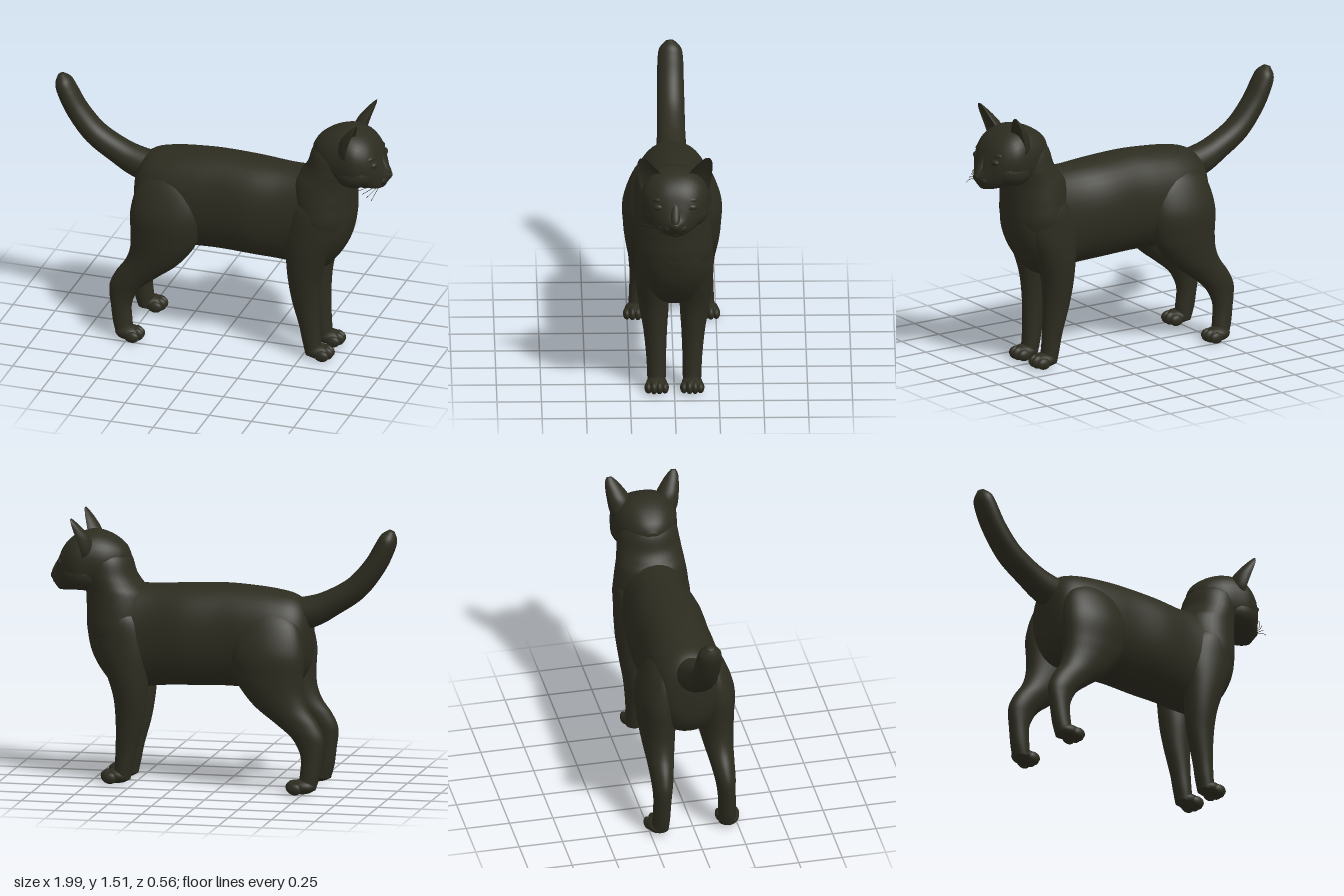
import * as THREE from 'three';

const fur = new THREE.MeshStandardMaterial({ color: 0x2d2c20 });
fur.name = 'dark fur';

// Skin through elliptical sections [x, y, z, half size in the xy plane, half size in z].
// angle turns the section's in-plane axis; null makes it follow the path.
// front scales the half of the section facing along the axis (negative = hollow).
function loft(name, sections, { angle = null, front = 1, power = 1, rings = 6, sides = 36 } = {}) {
  const at = (i, k) => sections[Math.min(Math.max(i, 0), sections.length - 1)][k];
  const rows = [];
  const steps = (sections.length - 1) * rings;
  for (let n = 0; n <= steps; n++) {
    const i = Math.min(Math.floor(n / rings), sections.length - 2), t = n / rings - i;
    rows.push([0, 1, 2, 3, 4].map(k => {
      const [p0, p1, p2, p3] = [at(i - 1, k), at(i, k), at(i + 1, k), at(i + 2, k)];
      const v = 0.5 * (2 * p1 + (p2 - p0) * t + (2 * p0 - 5 * p1 + 4 * p2 - p3) * t * t
        + (3 * p1 - p0 - 3 * p2 + p3) * t * t * t);
      return k > 2 ? Math.max(v, 0.002) : v;
    }));
  }
  const pos = [], idx = [];
  rows.forEach(([x, y, z, a, b], n) => {
    const p = rows[Math.max(n - 1, 0)], q = rows[Math.min(n + 1, steps)];
    const ang = angle === null ? Math.atan2(q[0] - p[0], p[1] - q[1]) : angle;
    for (let j = 0; j < sides; j++) {
      const th = j / sides * Math.PI * 2;
      let c = Math.cos(th), s = Math.sin(th);
      c = Math.sign(c) * Math.abs(c) ** power;
      s = Math.sign(s) * Math.abs(s) ** power;
      if (c > 0) c *= front;
      pos.push(x + Math.cos(ang) * a * c, y + Math.sin(ang) * a * c, z + b * s);
      if (n < steps) {
        const A = n * sides + j, B = n * sides + (j + 1) % sides;
        idx.push(A, B, A + sides, B, B + sides, A + sides);
      }
    }
  });
  // End caps
  const first = pos.length / 3;
  pos.push(...rows[0].slice(0, 3), ...rows[steps].slice(0, 3));
  for (let j = 0; j < sides; j++) {
    const k = (j + 1) % sides;
    idx.push(first, k, j, first + 1, steps * sides + j, steps * sides + k);
  }
  const g = new THREE.BufferGeometry();
  g.setAttribute('position', new THREE.Float32BufferAttribute(pos, 3));
  g.setIndex(idx);
  g.computeVertexNormals();
  const m = new THREE.Mesh(g, fur);
  m.name = name;
  return m;
}

function blob(name, x, y, z, rx, ry, rz) {
  const m = new THREE.Mesh(new THREE.SphereGeometry(1, 20, 14), fur);
  m.name = name;
  m.position.set(x, y, z);
  m.scale.set(rx, ry, rz);
  return m;
}

// Paw with four toes
function paw(name, x, z) {
  const g = new THREE.Group();
  g.name = name;
  g.add(blob('pad', x + 0.005, 0.045, z, 0.078, 0.043, 0.06));
  for (let i = 0; i < 4; i++) {
    const o = i - 1.5, mid = Math.abs(o) < 1;
    g.add(blob('toe', x + (mid ? 0.055 : 0.038), mid ? 0.042 : 0.035, z + o * 0.031,
      0.042, mid ? 0.038 : 0.033, 0.022));
  }
  return g;
}

export function createModel() {
  const cat = new THREE.Group();
  cat.name = 'cat';
  const UP = { angle: Math.PI / 2 }, FLAT = { angle: 0 };

  // Torso from rump to chest
  cat.add(loft('torso', [
    [-0.505, 0.87, 0, 0.05, 0.04], [-0.488, 0.86, 0, 0.17, 0.13], [-0.42, 0.845, 0, 0.255, 0.19],
    [-0.3, 0.85, 0, 0.28, 0.218], [-0.15, 0.857, 0, 0.289, 0.22], [0, 0.862, 0, 0.291, 0.214],
    [0.2, 0.855, 0, 0.29, 0.22], [0.38, 0.845, 0, 0.29, 0.197], [0.5, 0.835, 0, 0.3, 0.195],
    [0.6, 0.835, 0, 0.3, 0.205], [0.68, 0.85, 0, 0.24, 0.18], [0.745, 0.88, 0, 0.16, 0.13],
    [0.78, 0.9, 0, 0.05, 0.05]], { ...UP, power: 0.92 }));

  // Neck and throat, top to bottom
  cat.add(loft('neck', [
    [0.67, 1.36, 0, 0.07, 0.09], [0.675, 1.28, 0, 0.138, 0.158], [0.658, 1.19, 0, 0.15, 0.178],
    [0.635, 1.135, 0, 0.164, 0.186], [0.61, 1.08, 0, 0.182, 0.195], [0.6, 0.98, 0, 0.187, 0.21],
    [0.6, 0.86, 0, 0.18, 0.215], [0.59, 0.72, 0, 0.14, 0.17], [0.58, 0.6, 0, 0.06, 0.09]], FLAT));

  // Head from nape to nose
  cat.add(loft('head', [
    [0.54, 1.27, 0, 0.03, 0.03], [0.575, 1.26, 0, 0.095, 0.1], [0.65, 1.25, 0, 0.155, 0.158],
    [0.74, 1.255, 0, 0.175, 0.182], [0.82, 1.248, 0, 0.165, 0.188], [0.88, 1.23, 0, 0.148, 0.16],
    [0.92, 1.205, 0, 0.125, 0.125], [0.945, 1.178, 0, 0.094, 0.09], [0.966, 1.158, 0, 0.052, 0.06],
    [0.985, 1.158, 0, 0.026, 0.03], [0.998, 1.16, 0, 0.01, 0.012]], { ...UP, power: 0.87 }));
  cat.add(loft('noseBridge', [
    [0.915, 1.29, 0, 0.02, 0.02], [0.945, 1.24, 0, 0.02, 0.025], [0.966, 1.19, 0, 0.025, 0.027],
    [0.978, 1.155, 0, 0.018, 0.02]], FLAT));
  cat.add(blob('chin', 0.93, 1.105, 0, 0.035, 0.027, 0.045));

  // Tail
  cat.add(loft('tail', [
    [-0.33, 0.97, 0, 0.1, 0.09], [-0.5, 1.01, 0, 0.09, 0.086], [-0.62, 1.065, 0, 0.076, 0.08],
    [-0.76, 1.155, 0, 0.069, 0.078], [-0.865, 1.28, 0, 0.063, 0.075], [-0.925, 1.39, 0, 0.058, 0.072],
    [-0.95, 1.45, 0, 0.048, 0.06], [-0.965, 1.49, 0, 0.018, 0.02]]));

  for (const s of [1, -1]) {
    const side = s > 0 ? 'left' : 'right';
    const mirror = list => list.map(([x, y, z, a, b]) => [x, y, z * s, a, b]);

    // Legs, top to bottom
    cat.add(loft(side + 'FrontLeg', mirror([
      [0.59, 1.04, 0.11, 0.05, 0.05], [0.58, 0.95, 0.125, 0.13, 0.085], [0.56, 0.8, 0.13, 0.15, 0.09],
      [0.535, 0.65, 0.125, 0.122, 0.092], [0.517, 0.5, 0.115, 0.096, 0.084],
      [0.522, 0.35, 0.107, 0.079, 0.067], [0.543, 0.2, 0.102, 0.06, 0.056],
      [0.556, 0.1, 0.1, 0.053, 0.053], [0.57, 0.025, 0.1, 0.05, 0.05]]), FLAT));
    cat.add(paw(side + 'FrontPaw', 0.59, 0.1 * s));
    cat.add(loft(side + 'HindLeg', mirror([
      [-0.27, 1.06, 0.1, 0.06, 0.04], [-0.28, 0.96, 0.14, 0.17, 0.08], [-0.285, 0.8, 0.165, 0.21, 0.113],
      [-0.297, 0.65, 0.168, 0.195, 0.107], [-0.325, 0.56, 0.168, 0.172, 0.098],
      [-0.375, 0.48, 0.17, 0.15, 0.085], [-0.455, 0.4, 0.175, 0.125, 0.07],
      [-0.515, 0.33, 0.18, 0.097, 0.06], [-0.538, 0.27, 0.183, 0.077, 0.053],
      [-0.545, 0.2, 0.186, 0.06, 0.05], [-0.535, 0.1, 0.19, 0.056, 0.05],
      [-0.52, 0.025, 0.195, 0.05, 0.05]]), FLAT));
    cat.add(paw(side + 'HindPaw', -0.5, 0.205 * s));

    // Hollow ear, open to the front
    cat.add(loft(side + 'Ear', mirror([
      [0.845, 1.517, 0.184, 0.008, 0.014], [0.837, 1.49, 0.176, 0.028, 0.034],
      [0.823, 1.45, 0.16, 0.05, 0.051], [0.805, 1.4, 0.142, 0.066, 0.065],
      [0.785, 1.33, 0.13, 0.06, 0.066], [0.78, 1.28, 0.12, 0.04, 0.055]]), { ...FLAT, front: -0.3 }));

    // Face details
    cat.add(blob(side + 'Eye', 0.92, 1.253, 0.09 * s, 0.022, 0.02, 0.034));
    cat.add(blob(side + 'Brow', 0.893, 1.29, 0.085 * s, 0.032, 0.02, 0.045));
    cat.add(blob(side + 'WhiskerPad', 0.945, 1.142, 0.034 * s, 0.035, 0.03, 0.037));
    cat.add(blob(side + 'Cheek', 0.8, 1.19, 0.095 * s, 0.12, 0.09, 0.092));
  }

  // Whiskers
  for (let i = 0; i < 4; i++) {
    const path = new THREE.QuadraticBezierCurve3(
      new THREE.Vector3(0.955, 1.15 - i * 0.008, 0.055),
      new THREE.Vector3(0.95, 1.15 - i * 0.012, 0.13),
      new THREE.Vector3(0.86 + i * 0.025, 1.13 - i * 0.02, 0.205 - i * 0.008));
    const w = new THREE.Mesh(new THREE.TubeGeometry(path, 10, 0.0015, 5), fur);
    w.name = 'whisker';
    cat.add(w);
  }
  return cat;
}
